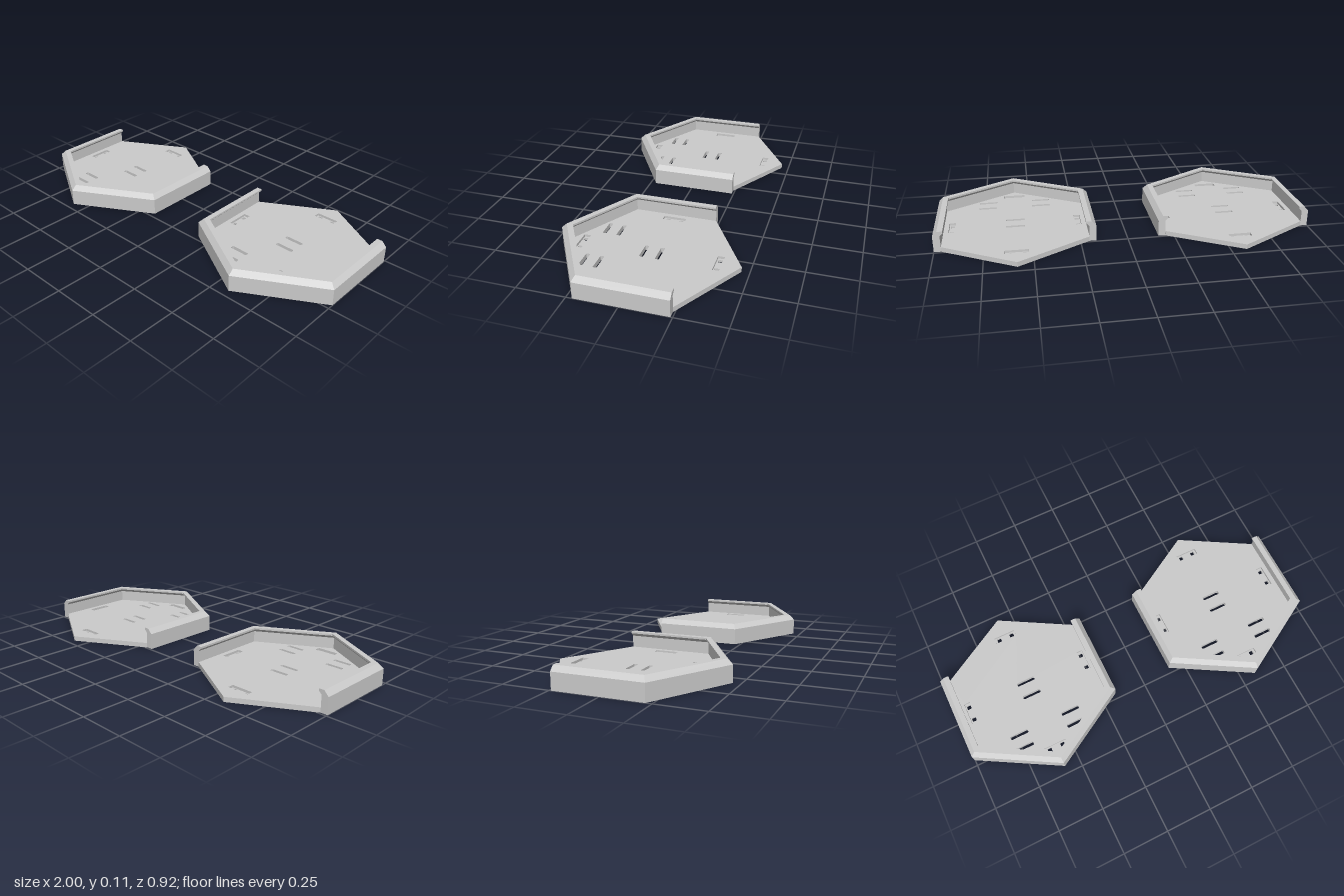
import * as THREE from 'three';

const MAT = new THREE.MeshStandardMaterial({ color: 0xcccccc, flatShading: true, side: THREE.DoubleSide });
const ZC = -0.0215;      // z of the hexagon centre
const WALL_END = -0.24;  // rim stops here, leaving the back open
const FLOOR_A = 0.38;    // floor apothem
const FLOOR_H = 0.026;

// rounded rectangle hole centred on (x, z)
function slot(x, z, w, d, r) {
  const p = new THREE.Path(), l = x - w / 2, b = -z - d / 2;
  p.moveTo(l + r, b);
  p.lineTo(l + w - r, b);
  p.quadraticCurveTo(l + w, b, l + w, b + r);
  p.lineTo(l + w, b + d - r);
  p.quadraticCurveTo(l + w, b + d, l + w - r, b + d);
  p.lineTo(l + r, b + d);
  p.quadraticCurveTo(l, b + d, l, b + d - r);
  p.lineTo(l, b + r);
  p.quadraticCurveTo(l, b, l + r, b);
  return p;
}

// hexagonal plate with holes, lying on height y
function plate(name, y, height, holes) {
  const shape = new THREE.Shape(), R = FLOOR_A / Math.cos(Math.PI / 6);
  shape.setFromPoints(Array.from({ length: 6 }, (_, i) => {
    const t = Math.PI / 2 + i * Math.PI / 3;
    return new THREE.Vector2(R * Math.cos(t), R * Math.sin(t) - ZC);
  }));
  shape.holes = holes;
  const geo = new THREE.ExtrudeGeometry(shape, { depth: height, bevelEnabled: false, curveSegments: 3 });
  geo.rotateX(-Math.PI / 2).translate(0, y, 0);
  const mesh = new THREE.Mesh(geo, MAT);
  mesh.name = name;
  return mesh;
}

// rim: a hooked, chamfered profile (apothem, height) mitred around the front four corners
function rim() {
  const profile = [[0.38, 0], [0.417, 0], [0.417, 0.087], [0.393, 0.113],
    [0.364, 0.113], [0.364, 0.103], [0.38, 0.087]];
  const path = a => {
    const c = ZC + a / Math.sqrt(3), f = ZC + 2 * a / Math.sqrt(3);
    return [[-a, WALL_END], [-a, c], [0, f], [a, c], [a, WALL_END]];
  };
  const point = (i, s) => {
    const [a, y] = profile[i % profile.length], [x, z] = path(a)[s];
    return [x, y, z];
  };
  const pos = [];
  const tri = (...pts) => pts.forEach(p => pos.push(...p));
  for (let s = 0; s < 4; s++) {
    for (let i = 0; i < profile.length; i++) {
      const p = point(i, s), q = point(i, s + 1), r = point(i + 1, s + 1), t = point(i + 1, s);
      tri(p, q, r);
      tri(p, r, t);
    }
  }
  // flat end caps
  const faces = THREE.ShapeUtils.triangulateShape(profile.map(p => new THREE.Vector2(...p)), []);
  for (const [a, b, c] of faces) {
    tri(point(a, 0), point(b, 0), point(c, 0));
    tri(point(a, 4), point(c, 4), point(b, 4));
  }
  const geo = new THREE.BufferGeometry();
  geo.setAttribute('position', new THREE.Float32BufferAttribute(pos, 3));
  geo.computeVertexNormals();
  const mesh = new THREE.Mesh(geo, MAT);
  mesh.name = 'rim';
  return mesh;
}

function tray() {
  const g = new THREE.Group();
  // long strap slots
  const slots = () => [[0, -0.055], [0, 0.026], [-0.15, 0.203], [-0.15, 0.277], [0.15, 0.203], [0.15, 0.277]]
    .map(([x, z]) => slot(x, z, 0.1, 0.02, 0.006));
  // recessed pockets, each with two through holes: x, z, turned
  const pockets = [[0, -0.348, false], [0, 0.35, false], [-0.337, -0.024, true], [0.337, -0.024, true]];
  const recesses = pockets.map(([x, z, t]) => slot(x, z, t ? 0.034 : 0.12, t ? 0.12 : 0.034, 0.002));
  const pins = pockets.flatMap(([x, z, t]) => [-0.037, 0.037]
    .map(o => slot(x + (t ? 0 : o), z + (t ? o : 0), 0.022, 0.022, 0.003)));
  const half = FLOOR_H / 2;
  g.add(plate('floorBase', 0, half, [...slots(), ...pins]));
  g.add(plate('floorTop', half, half, [...slots(), ...recesses]));
  g.add(rim());
  return g;
}

export function createModel() {
  const model = new THREE.Group();
  model.name = 'hexagonalTrays';
  for (const [name, x] of [['rightTray', -0.583], ['leftTray', 0.583]]) {
    const t = tray();
    t.name = name;
    t.position.x = x;
    model.add(t);
  }
  return model;
}
